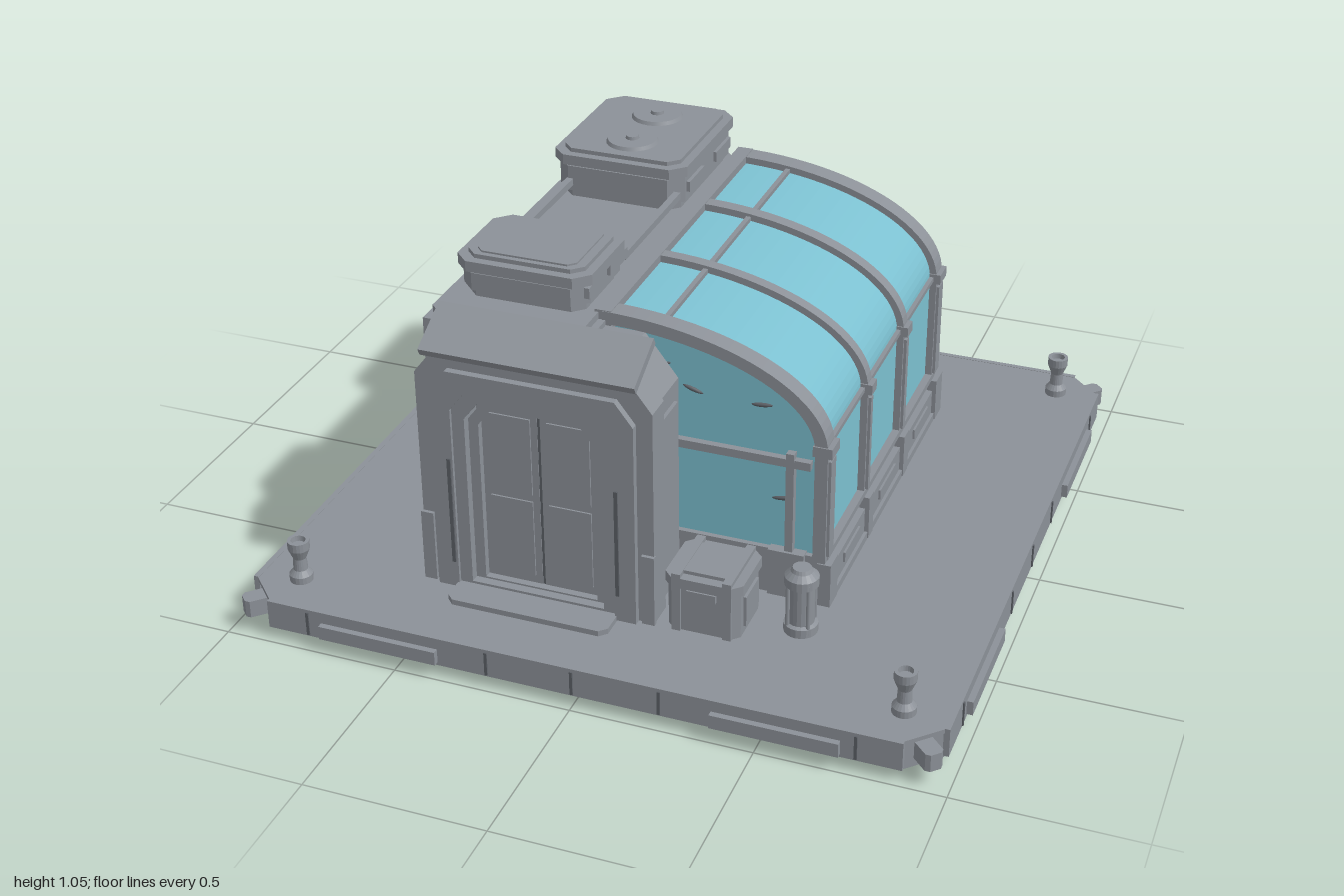
import * as THREE from 'three';

const mat = (name, color) => {
  const m = new THREE.MeshStandardMaterial({ color });
  m.name = name;
  return m;
};

export function createModel() {
  const root = new THREE.Group();
  const hull = mat('hull grey', 0x8c9198);
  const glass = mat('blue glass', 0x7cc0d0);
  const dark = mat('seam dark grey', 0x5c6066);

  const add = (name, geo, m = hull, x = 0, y = 0, z = 0) => {
    const mesh = new THREE.Mesh(geo, m);
    mesh.name = name;
    mesh.position.set(x, y, z);
    root.add(mesh);
    return mesh;
  };
  // box given by its extents
  const box = (name, x0, x1, y0, y1, z0, z1, m = hull) =>
    add(name, new THREE.BoxGeometry(x1 - x0, y1 - y0, z1 - z0), m, (x0 + x1) / 2, (y0 + y1) / 2, (z0 + z1) / 2);
  const shapeOf = pts => new THREE.Shape(pts.map(p => new THREE.Vector2(p[0], p[1])));
  const octagon = (w, d, c) => [[-w, -d + c], [-w + c, -d], [w - c, -d], [w, -d + c], [w, d - c], [w - c, d], [-w + c, d], [-w, d - c]];
  // upright slab with cut corners, standing on y
  const slab = (name, x, z, y, w, d, h, c, m = hull) => {
    const g = new THREE.ExtrudeGeometry(shapeOf(octagon(w / 2, d / 2, c)), { depth: h, bevelEnabled: false });
    return add(name, g.rotateX(-Math.PI / 2), m, x, y, z);
  };
  // profile in x and y drawn out from z0 to z1
  const extrude = (name, pts, z0, z1, m = hull, hole) => {
    const s = shapeOf(pts);
    if (hole) s.holes.push(shapeOf(hole));
    return add(name, new THREE.ExtrudeGeometry(s, { depth: z1 - z0, bevelEnabled: false }), m, 0, 0, z0);
  };
  const lathe = (name, pts, x, y, z) => {
    const g = new THREE.LatheGeometry(pts.map(p => new THREE.Vector2(p[0], p[1])), 20).toNonIndexed();
    g.computeVertexNormals();
    return add(name, g, hull, x, y, z);
  };

  // Platform
  slab('platformFoot', 0, 0, 0, 1.84, 1.86, 0.03, 0.08);
  slab('platformCore', 0, 0, 0.025, 1.92, 1.94, 0.085, 0.09);
  slab('platformDeck', 0, 0, 0.105, 1.92, 1.94, 0.012, 0.08);
  for (const s of [-1, 1]) {
    box('platformRail', -0.88, 0.88, 0.035, 0.118, s * 0.975 - 0.008, s * 0.975 + 0.008);
    box('platformRail', s * 0.965 - 0.008, s * 0.965 + 0.008, 0.035, 0.118, -0.89, 0.89);
    for (const t of [-0.55, 0.55]) {
      box('edgePlate', t - 0.17, t + 0.17, 0.045, 0.085, s * 0.99 - 0.01, s * 0.99 + 0.01);
      box('edgePlate', s * 0.98 - 0.01, s * 0.98 + 0.01, 0.045, 0.085, t - 0.17, t + 0.17);
    }
    for (const t of [-0.76, -0.24, 0, 0.24, 0.76]) {
      box('edgeSeam', t - 0.004, t + 0.004, 0.04, 0.11, s * 0.984 - 0.003, s * 0.984 + 0.003, dark);
      box('edgeSeam', s * 0.974 - 0.003, s * 0.974 + 0.003, 0.04, 0.11, t - 0.004, t + 0.004, dark);
    }
    for (const t of [-1, 1]) {
      const post = [[0, 0], [0.032, 0], [0.032, 0.02], [0.02, 0.035], [0.018, 0.07], [0.03, 0.1], [0.03, 0.125], [0.02, 0.125], [0.018, 0.11], [0, 0.11]];
      lathe('cornerPost', post, s * 0.845, 0.117, t * 0.855);
      const lug = slab('cornerLug', s * 0.925, t * 0.935, 0.05, 0.05, 0.1, 0.05, 0.01);
      lug.rotation.y = s * t * Math.PI / 4;
    }
  }

  // Main cabin
  box('cabin', -0.54, -0.09, 0.115, 0.865, -0.6, 0.64);
  slab('cabinRoof', -0.32, 0.02, 0.865, 0.42, 1.22, 0.02, 0.03);
  box('ridgeBeam', -0.12, -0.075, 0.8, 0.892, -0.625, 0.49);
  for (const z of [-0.4, 0.02, 0.43]) {
    box('wallSlot', -0.545, -0.535, 0.765, 0.795, z - 0.13, z + 0.13);
    box('wallSlotSeam', -0.546, -0.535, 0.775, 0.782, z - 0.12, z + 0.12, dark);
  }
  for (const z of [-0.27, 0.0, 0.3]) box('wallSeam', -0.543, -0.535, 0.2, 0.72, z - 0.004, z + 0.004, dark);
  box('wallSeam', -0.543, -0.535, 0.716, 0.722, -0.27, 0.3, dark);

  // Roof units and the rails between them
  const roofUnit = (x, z, w, d, top) => {
    slab('roofUnitFoot', x, z, 0.88, w - 0.05, d - 0.05, 0.04, 0.03);
    slab('roofUnitBody', x, z, 0.908, w - 0.02, d - 0.02, top - 0.96, 0.04);
    slab('roofUnitNeck', x, z, 0.92, w - 0.05, d - 0.05, top - 0.94, 0.04);
    slab('roofUnitLid', x, z, top - 0.045, w, d, 0.03, 0.04);
    slab('roofUnitTop', x, z, top - 0.015, w - 0.05, d - 0.05, 0.012, 0.03);
    for (const s of [-1, 1]) box('roofUnitVent', x + w / 2 - 0.015, x + w / 2, 0.935, 0.965, z + s * d * 0.24 - 0.06, z + s * d * 0.24 + 0.06);
  };
  roofUnit(-0.31, -0.355, 0.4, 0.46, 1.035);
  roofUnit(-0.31, 0.39, 0.38, 0.3, 1.01);
  slab('roofHatch', -0.31, 0.39, 1.0, 0.28, 0.22, 0.012, 0.02);
  for (const z of [-0.45, -0.255]) {
    add('fanDisc', new THREE.CylinderGeometry(0.07, 0.075, 0.01, 24), hull, -0.31, 1.037, z);
    add('fanHub', new THREE.CylinderGeometry(0.018, 0.02, 0.012, 16), hull, -0.31, 1.045, z);
  }
  for (const x of [-0.455, -0.135]) box('roofRail', x - 0.01, x + 0.01, 0.925, 0.945, -0.15, 0.26);

  // Entrance: stepped portal around a double door
  const portal = (w, top, c, bottom = 0.12) => [[-0.2 - w, bottom], [-0.2 + w, bottom], [-0.2 + w, top - c * 1.3], [-0.2 + w - c, top], [-0.2 - w + c, top], [-0.2 - w, top - c * 1.3]];
  extrude('vestibule', portal(0.31, 0.85, 0.09), 0.49, 0.66);
  extrude('portalOuter', portal(0.33, 0.83, 0.06), 0.645, 0.725, hull, portal(0.25, 0.74, 0.04, 0.13));
  extrude('portalStep', portal(0.285, 0.78, 0.05), 0.7, 0.745, hull, portal(0.225, 0.72, 0.04, 0.13));
  extrude('portalInner', portal(0.23, 0.725, 0.01), 0.66, 0.735, hull, portal(0.19, 0.695, 0.04, 0.14));
  extrude('doorFrame', portal(0.195, 0.69, 0.05, 0.13), 0.66, 0.71, hull, portal(0.162, 0.67, 0.04, 0.145));
  for (const s of [-1, 1]) {
    box('doorLeaf', -0.2 + s * 0.083 - 0.079, -0.2 + s * 0.083 + 0.079, 0.14, 0.675, 0.66, 0.69);
    for (const [y0, y1] of [[0.17, 0.4], [0.42, 0.65]]) box('doorPanel', -0.2 + s * 0.083 - 0.06, -0.2 + s * 0.083 + 0.06, y0, y1, 0.689, 0.695);
    box('portalPad', -0.2 + s * 0.315 - 0.018, -0.2 + s * 0.315 + 0.018, 0.12, 0.33, 0.72, 0.735);
    box('portalStrip', -0.2 + s * 0.235 - 0.005, -0.2 + s * 0.235 + 0.005, 0.2, 0.52, 0.744, 0.75, dark);
  }
  box('doorGap', -0.204, -0.196, 0.14, 0.675, 0.66, 0.688, dark);
  slab('doorStep', -0.2, 0.77, 0.115, 0.46, 0.11, 0.018, 0.02);
  const awning = box('awning', -0.5, 0.095, 0.852, 0.876, 0.605, 0.76);
  awning.rotation.x = 0.5;
  box('awningBracket', -0.46, 0.05, 0.8, 0.86, 0.62, 0.68);
  box('sidePanel', 0.105, 0.12, 0.2, 0.68, 0.52, 0.63);

  // Greenhouse: curved glass body, ribs, sills
  const arch = inset => {
    const pts = [[-0.1, 0.12], [0.52 - inset, 0.12]];
    for (let i = 0; i <= 24; i++) {
      const a = i / 24 * Math.PI / 2;
      pts.push([-0.1 + (0.62 - inset) * Math.cos(a), 0.59 + (0.3 - inset) * Math.sin(a)]);
    }
    return pts;
  };
  extrude('glassShell', arch(0.02), -0.59, 0.46, glass);
  const ribs = [[-0.625, -0.565], [-0.255, -0.215], [0.1, 0.135], [0.435, 0.492]];
  const outer = arch(0).slice(1), inner = arch(0.035).slice(1).reverse();
  for (const [z0, z1] of ribs) {
    extrude('rib', [...outer, ...inner], z0, z1);
    box('ribJoint', 0.48, 0.533, 0.575, 0.605, z0 - 0.004, z1 + 0.004);
    box('ribFoot', 0.5, 0.538, 0.12, 0.25, z0 - 0.004, z1 + 0.004);
    box('ribPad', 0.5, 0.528, 0.27, 0.56, z0 + 0.008, z1 - 0.008);
  }
  box('eaveBar', 0.49, 0.512, 0.582, 0.596, -0.6, 0.47);
  box('roofBar', 0.048, 0.062, 0.85, 0.872, -0.6, 0.47);
  box('sillWall', -0.1, 0.51, 0.115, 0.255, -0.6, 0.475);
  box('sillCap', 0.48, 0.522, 0.25, 0.268, -0.6, 0.47);
  box('sillBase', 0.48, 0.535, 0.115, 0.14, -0.62, 0.49);
  for (let i = 0; i < 3; i++) {
    const z0 = ribs[i][1] + 0.02, z1 = ribs[i + 1][0] - 0.02;
    box('sillPanel', 0.5, 0.53, 0.15, 0.225, z0, z1);
    box('sillSlot', 0.525, 0.536, 0.175, 0.205, z0 + 0.06, z1 - 0.06);
  }
  // end-wall bars on both gables, with a bench box at the back
  for (const [z, xs] of [[0.468, [0.415]], [-0.598, [0.02, 0.415]]]) {
    box('gableBar', -0.08, 0.47, 0.518, 0.542, z - 0.012, z + 0.012);
    for (const x of xs) box('gablePost', x - 0.011, x + 0.011, 0.25, 0.56, z - 0.014, z + 0.014);
    // leaf tips touching the glass
    for (const [x, y, r] of [[0.14, 0.69, -0.3], [0.33, 0.68, 0.1], [0.39, 0.41, 0.15], [0.05, 0.75, 0.2]]) {
      const leaf = add('leafTip', new THREE.SphereGeometry(1, 8, 6), dark, x, y, z - Math.sign(z) * 0.007);
      leaf.scale.set(0.03, 0.006, 0.006);
      leaf.rotation.z = r;
    }
  }
  box('backBench', 0.0, 0.46, 0.15, 0.28, -0.63, -0.59);
  box('frontSill', 0.36, 0.46, 0.12, 0.26, 0.46, 0.49);

  // Crate by the door
  slab('crateBody', 0.26, 0.63, 0.117, 0.2, 0.18, 0.14, 0.02);
  slab('crateLid', 0.26, 0.63, 0.25, 0.215, 0.195, 0.03, 0.025);
  slab('crateTop', 0.26, 0.63, 0.28, 0.16, 0.14, 0.01, 0.02);
  for (const s of [-1, 1]) {
    box('crateBand', 0.26 + s * 0.07 - 0.012, 0.26 + s * 0.07 + 0.012, 0.117, 0.292, 0.532, 0.728);
    box('crateSide', 0.26 + s * 0.1 - 0.008, 0.26 + s * 0.1 + 0.008, 0.14, 0.23, 0.58, 0.68);
  }
  box('crateLatch', 0.22, 0.3, 0.225, 0.25, 0.715, 0.732);

  // Canister
  lathe('canister', [[0, 0], [0.046, 0], [0.046, 0.025], [0.036, 0.03], [0.036, 0.14], [0.046, 0.145], [0.046, 0.17], [0.03, 0.185], [0.025, 0.195], [0, 0.195]], 0.495, 0.117, 0.61);
  for (let i = 0; i < 4; i++) {
    const a = i * Math.PI / 2 + Math.PI / 4;
    add('canisterRod', new THREE.CylinderGeometry(0.006, 0.006, 0.15, 8), hull, 0.495 + 0.04 * Math.cos(a), 0.2, 0.61 + 0.04 * Math.sin(a));
  }
  return root;
}
